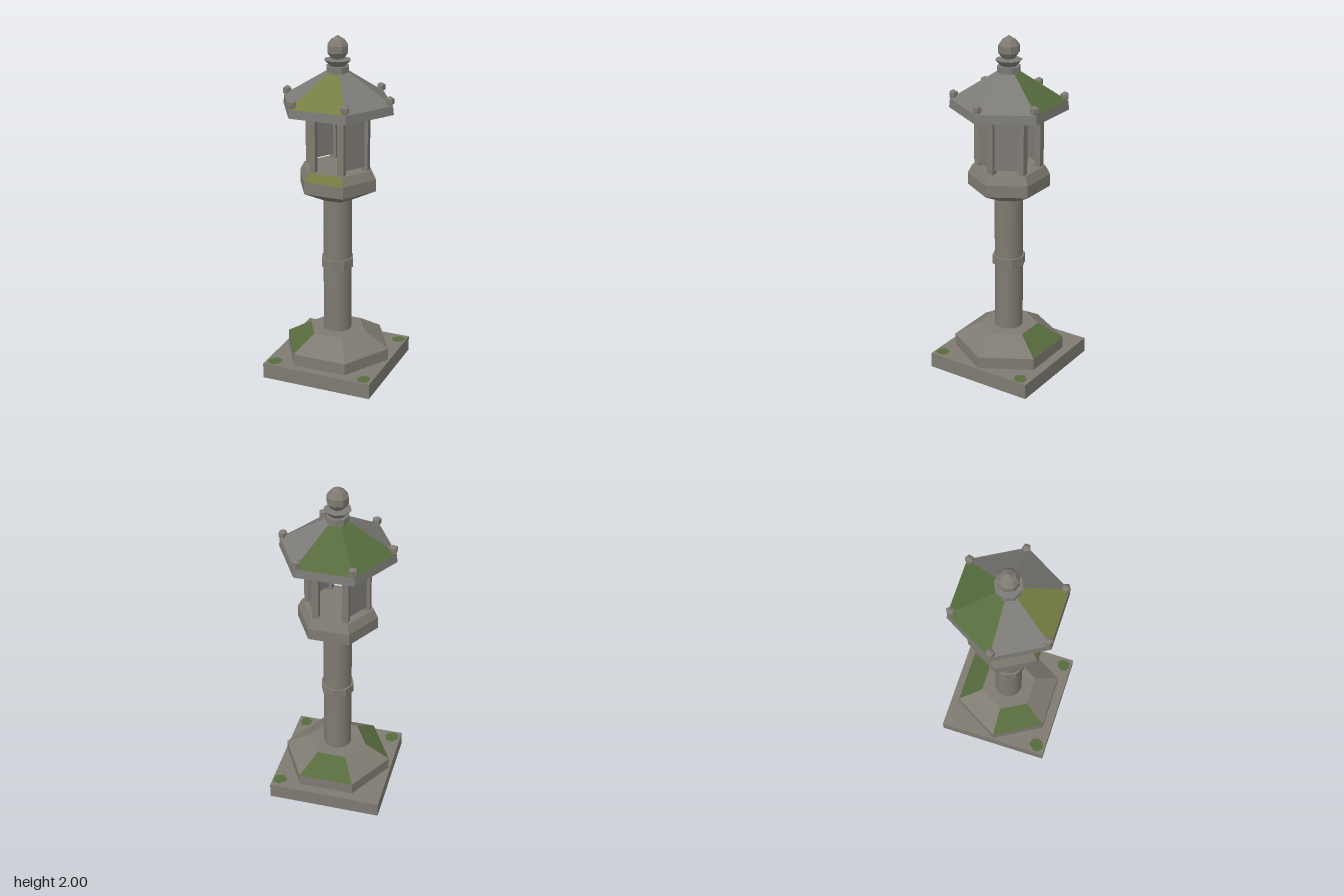
import * as THREE from 'three';

const paint = (name, color) => {
  const m = new THREE.MeshStandardMaterial({ color });
  m.name = name;
  return m;
};

// faceted normals
const flat = (geo) => {
  const g = geo.toNonIndexed();
  g.computeVertexNormals();
  return g;
};

// moss patch outlines on the plinth, as x, z
const PATCHES = [
  [[0.246, -0.275], [0.28, -0.309], [0.321, -0.304], [0.328, -0.272], [0.314, -0.241], [0.278, -0.229], [0.25, -0.254]],
  [[-0.321, 0.268], [-0.289, 0.233], [-0.251, 0.242], [-0.237, 0.277], [-0.255, 0.309], [-0.289, 0.324], [-0.319, 0.301]],
  [[0.246, 0.272], [0.262, 0.249], [0.301, 0.245], [0.318, 0.279], [0.309, 0.315], [0.271, 0.324], [0.246, 0.301]],
];

export function createModel() {
  const stone = paint('warm stone', 0x7f7b72);
  stone.side = THREE.DoubleSide; // the plinth is open underneath
  const greyStone = paint('grey stone', 0x7d7b77);
  const moss = paint('moss', 0x566b3d);
  const lichen = paint('lichen', 0x777e42);

  const model = new THREE.Group();
  model.name = 'stoneLantern';

  const add = (name, geo, mat, x = 0, y = 0, z = 0, parent = model) => {
    const mesh = new THREE.Mesh(geo, mat);
    mesh.name = name;
    mesh.position.set(x, y, z);
    parent.add(mesh);
    return mesh;
  };

  // Six-sided frustum with corners on the x axis. painted = { side: material };
  // sides: 0 right-back, 1 back, 2 left-back, 3 left-front, 4 front, 5 right-front (as seen from the front)
  const hex = (name, y0, r0, y1, r1, mat, painted = {}) => {
    const g = new THREE.CylinderGeometry(r1, r0, y1 - y0, 6, 1, false, Math.PI / 2);
    g.clearGroups();
    const mats = [];
    for (let k = 0; k < 6; k++) {
      g.addGroup(k * 6, 6, k);
      mats.push(painted[k] || mat);
    }
    g.addGroup(36, 36, 6);
    mats.push(mat);
    return add(name, flat(g), mats, 0, (y0 + y1) / 2, 0);
  };

  // Hollow plinth: a box without its bottom face
  const plinth = new THREE.BoxGeometry(0.665, 0.09, 0.665);
  const faces = Array.from(plinth.index.array);
  faces.splice(18, 6);
  plinth.setIndex(faces);
  plinth.clearGroups();
  add('plinth', plinth, stone, 0, 0.045, 0);

  // Moss patches on the plinth
  for (const outline of PATCHES) {
    const shape = new THREE.Shape(outline.map(([x, z]) => new THREE.Vector2(x, -z)));
    add('mossPatch', new THREE.ShapeGeometry(shape).rotateX(-Math.PI / 2), moss, 0, 0.0925, 0);
  }

  // Stepped hexagonal foot
  hex('footBand', 0.09, 0.322, 0.16, 0.322, stone);
  hex('footSlope', 0.16, 0.322, 0.25, 0.172, stone, { 1: moss, 3: moss });

  // Round post and its collar
  add('post', new THREE.CylinderGeometry(0.082, 0.082, 0.84, 20), stone, 0, 0.66, 0);
  add('postCollar', flat(new THREE.CylinderGeometry(0.097, 0.097, 0.054, 8)), stone, 0, 0.673, 0);

  // Bowl under the light chamber
  hex('bowlUnderside', 1.06, 0.09, 1.13, 0.233, stone);
  hex('bowlBand', 1.13, 0.233, 1.2, 0.233, stone);
  hex('bowlSlope', 1.2, 0.233, 1.25, 0.207, stone, { 4: lichen });

  // Light chamber: six square pillars, four panes, open at front and back
  const chamber = new THREE.Group();
  chamber.name = 'lightChamber';
  model.add(chamber);
  for (let k = 0; k < 6; k++) {
    const a = (k * Math.PI) / 3;
    add('pillar', new THREE.BoxGeometry(0.037, 0.35, 0.037), stone,
      0.17 * Math.cos(a), 1.42, 0.17 * Math.sin(a), chamber);
    const m = a + Math.PI / 6;
    if (k % 3 === 1) continue;
    const pane = add('pane', new THREE.BoxGeometry(0.14, 0.288, 0.018), greyStone,
      0.147 * Math.cos(m), 1.416, 0.147 * Math.sin(m), chamber);
    pane.rotation.y = Math.PI / 2 - m;
  }

  // Roof with corner knobs
  hex('eaveBand', 1.585, 0.333, 1.635, 0.327, greyStone);
  hex('roofSlope', 1.635, 0.327, 1.795, 0.07, greyStone, { 1: moss, 2: moss, 4: lichen });
  for (let k = 0; k < 6; k++) {
    const a = (k * Math.PI) / 3;
    const knob = add('cornerKnob', flat(new THREE.SphereGeometry(0.029, 5, 3)), stone,
      0.308 * Math.cos(a), 1.66, 0.308 * Math.sin(a));
    knob.rotation.y = -a;
  }

  // Finial: neck, flared cup, bud and tip
  add('finialNeck', flat(new THREE.CylinderGeometry(0.066, 0.066, 0.045, 8)), greyStone, 0, 1.808, 0);
  add('finialCup', flat(new THREE.CylinderGeometry(0.077, 0.042, 0.038, 8)), greyStone, 0, 1.846, 0);
  add('finialBud', flat(new THREE.SphereGeometry(0.064, 8, 5)), stone, 0, 1.925, 0);
  add('finialTip', new THREE.ConeGeometry(0.037, 0.026, 16), stone, 0, 1.987, 0);

  return model;
}
